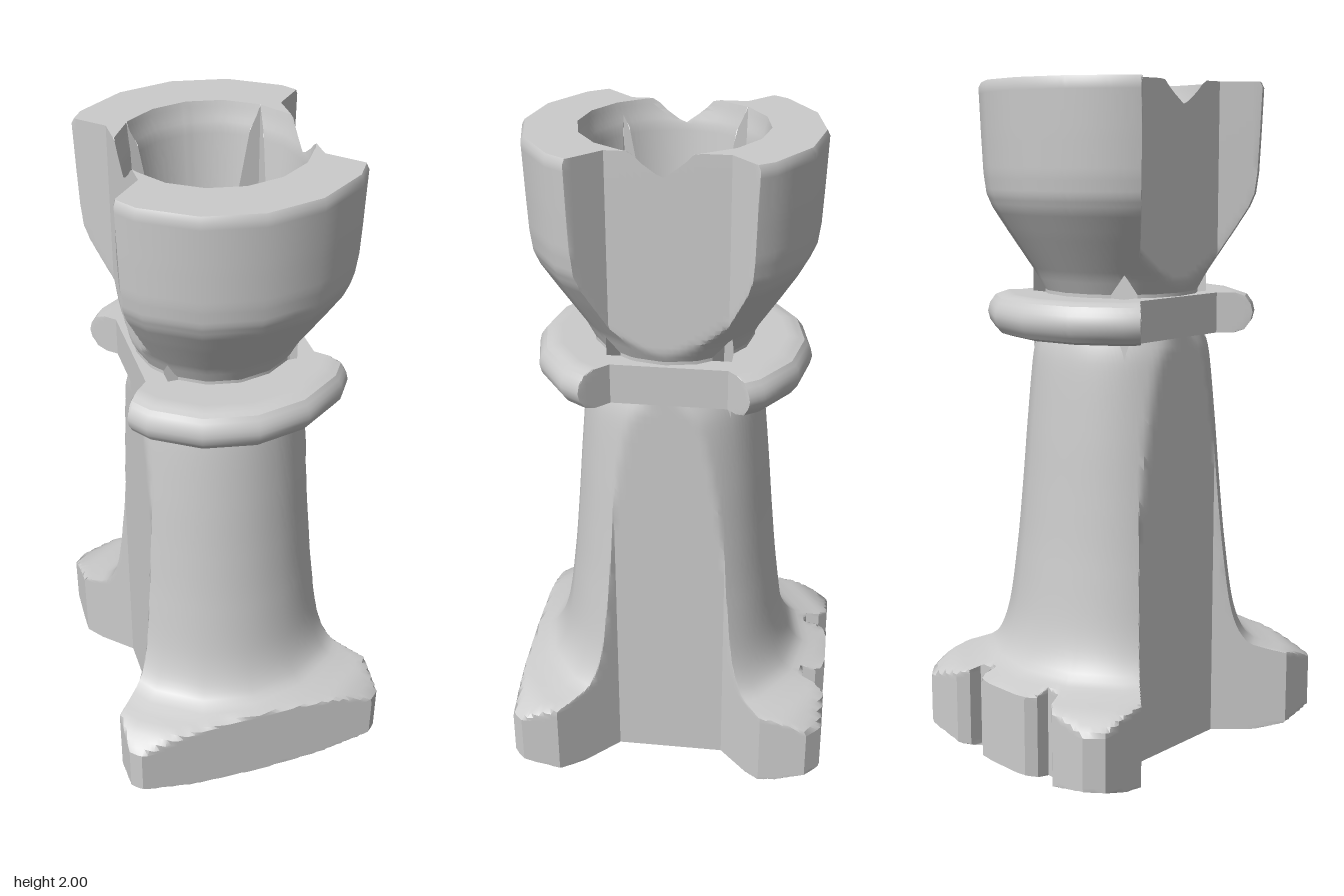
import * as THREE from 'three';
import { toCreasedNormals } from 'three/addons/utils/BufferGeometryUtils.js';

const AXIS_Z = 0.015; // the turned axis sits slightly in front of the footprint centre
const SIDES = 16;
const V = (p) => new THREE.Vector2(p[0], p[1]);

// Right half of the footprint (x, z), back centre to front centre
const half = [[0, -0.485], [0.095, -0.485], [0.12, -0.457], [0.12, -0.415], [0.182, -0.415], [0.182, -0.458],
  [0.212, -0.485], [0.335, -0.485], [0.38, -0.44], [0.38, -0.295], [0.248, -0.165], [0.248, 0.167],
  [0.415, 0.335], [0.415, 0.45], [0.385, 0.483], [0, 0.483]];

// Turned profiles (radius, height)
const bowlPts = [[0.265, 2], [0.259, 1.97], [0.248, 1.93], [0.235, 1.8], [0.22, 1.65], [0.205, 1.55]];
const sections = {
  base: [[0, 0], [0.44, 0], [0.53, 0.02], [0.61, 0.05], [0.66, 0.1], [0.66, 0.16], [0.61, 0.21]],
  column: [[0.61, 0.21], [0.54, 0.25], [0.465, 0.27], [0.4, 0.3], [0.355, 0.4], [0.325, 0.6], [0.305, 0.8],
    [0.288, 1], [0.268, 1.2], [0.25, 1.27]],
  collar: [[0.25, 1.27], [0.35, 1.27], [0.38, 1.28], [0.398, 1.305], [0.404, 1.33], [0.398, 1.355],
    [0.38, 1.38], [0.35, 1.39], [0.235, 1.39], [0.235, 1.4]],
  head: [[0.235, 1.4], [0.26, 1.45], [0.34, 1.57], [0.385, 1.64], [0.402, 1.68], [0.41, 1.74], [0.415, 1.85],
    [0.42, 1.985], [0.412, 2], [0.265, 2]],
  bowl: [...bowlPts, [0, 1.55]],
};

// Two slots run from the bowl down through the base: [x0, x1, z0, z1]
const slots = [[-0.19, 0.19, 0.13, 0.185], [-0.19, 0.19, -0.17, -0.115]]
  .map(([a, b, c, d]) => [a, b, c - AXIS_Z, d - AXIS_Z]);

// Splits each straight run into short steps
function subdivide(points, step, closed = false) {
  const out = [];
  const n = points.length - (closed ? 0 : 1);
  for (let i = 0; i < n; i++) {
    const a = V(points[i]), b = V(points[(i + 1) % points.length]);
    const k = Math.max(1, Math.ceil(a.distanceTo(b) / step));
    for (let j = 0; j < k; j++) out.push(a.clone().lerp(b, j / k));
  }
  if (!closed) out.push(V(points[points.length - 1]));
  return out;
}

// Ratio of the many-sided section's radius to the round one
function facet(angle) {
  const s = (2 * Math.PI) / SIDES;
  const t = ((angle % s) + s) % s - s / 2;
  return Math.cos(s / 2) / Math.cos(t);
}

// Height of the bowl's wall at a radius
function bowlHeight(r) {
  if (r >= bowlPts[0][0]) return 2;
  for (let i = 1; i < bowlPts.length; i++) {
    const [r0, y0] = bowlPts[i - 1], [r1, y1] = bowlPts[i];
    if (r >= r1) return y1 + (y0 - y1) * (r - r1) / (r0 - r1);
  }
  return 1.55;
}

// Rays from the axis to the footprint's edge
const outline = [...half, ...half.slice(1, -1).reverse().map(([x, z]) => [-x, z])]
  .map(([x, z]) => [x, z - AXIS_Z]);
const rays = subdivide(outline, 0.02, true).map((p) => {
  const R = p.length();
  return { R, x: p.x / R, z: p.y / R, f: facet(Math.atan2(p.x, p.y)) };
});

// A profile point along a ray, held inside the footprint
function place(ray, p, f) {
  const r = Math.min(p.x * f, ray.R);
  const y = Math.min(p.y, bowlHeight(ray.R / f));
  return [ray.x * r, y, ray.z * r];
}

function clip(poly, axis, limit, sign) {
  const out = [];
  poly.forEach((a, i) => {
    const b = poly[(i + 1) % poly.length];
    const da = (a[axis] - limit) * sign, db = (b[axis] - limit) * sign;
    if (da >= 0) out.push(a);
    if (da * db < 0) out.push(a.map((v, k) => v + (b[k] - v) * da / (da - db)));
  });
  return out;
}

// Removes a slot's rectangle from a polygon, giving the pieces left over
function cutSlot(poly, [x0, x1, z0, z1]) {
  const xs = poly.map((p) => p[0]), zs = poly.map((p) => p[2]);
  if (Math.max(...xs) <= x0 || Math.min(...xs) >= x1 || Math.max(...zs) <= z0 || Math.min(...zs) >= z1) return [poly];
  const pieces = [];
  let rest = poly;
  for (const [axis, limit, sign] of [[0, x0, -1], [0, x1, 1], [2, z0, -1], [2, z1, 1]]) {
    pieces.push(clip(rest, axis, limit, sign));
    rest = clip(rest, axis, limit, -sign);
  }
  return pieces.filter((p) => p.length > 2);
}

function area(a, b, c) {
  const p = new THREE.Vector3(...a), q = new THREE.Vector3(...b), r = new THREE.Vector3(...c);
  return q.sub(p).cross(r.sub(p)).length();
}

// Turned section trimmed by the footprint; normals come from its round twin
function turned(profile) {
  const faceted = [], round = [];
  const grid = profile.map((p) => rays.map((ray) => [...place(ray, p, ray.f), ...place(ray, p, 1)]));
  const emit = (tri) => {
    if (area(...tri.map((v) => v.slice(0, 3))) < 1e-9) return;
    let polys = [tri];
    for (const s of slots) polys = polys.flatMap((p) => cutSlot(p, s));
    for (const p of polys) {
      for (let k = 1; k < p.length - 1; k++) {
        for (const v of [p[0], p[k], p[k + 1]]) {
          faceted.push(v[0], v[1], v[2]);
          round.push(v[3], v[4], v[5]);
        }
      }
    }
  };
  for (let i = 0; i < grid.length - 1; i++) {
    for (let j = 0; j < rays.length; j++) {
      const k = (j + 1) % rays.length;
      const a = grid[i][j], b = grid[i + 1][j], c = grid[i + 1][k], d = grid[i][k];
      emit([a, b, c]);
      emit([a, c, d]);
    }
  }
  const twin = new THREE.BufferGeometry();
  twin.setAttribute('position', new THREE.Float32BufferAttribute(round, 3));
  const geo = new THREE.BufferGeometry();
  geo.setAttribute('position', new THREE.Float32BufferAttribute(faceted, 3));
  geo.setAttribute('normal', toCreasedNormals(twin, 0.55).getAttribute('normal'));
  return geo;
}

// Inward-facing walls of one slot, reaching up to the bowl's surface
function slotWalls([x0, x1, z0, z1]) {
  const loop = subdivide([[x0, z0], [x1, z0], [x1, z1], [x0, z1]], 0.01, true);
  const pos = [];
  const top = (p) => bowlHeight(p.length() / facet(Math.atan2(p.x, p.y)));
  loop.forEach((p, i) => {
    const q = loop[(i + 1) % loop.length];
    const a = [p.x, 0, p.y], b = [q.x, 0, q.y], c = [q.x, top(q), q.y], d = [p.x, top(p), p.y];
    pos.push(...a, ...b, ...c, ...a, ...c, ...d);
  });
  const geo = new THREE.BufferGeometry();
  geo.setAttribute('position', new THREE.Float32BufferAttribute(pos, 3));
  geo.computeVertexNormals();
  return geo;
}

export function createModel() {
  const group = new THREE.Group();
  group.name = 'chessRook';
  const material = new THREE.MeshStandardMaterial({ color: 0xcccccc });
  const add = (name, geo) => {
    const mesh = new THREE.Mesh(geo, material);
    mesh.name = name;
    mesh.position.z = AXIS_Z;
    group.add(mesh);
  };
  for (const [name, pts] of Object.entries(sections)) {
    // The column's flare is a smooth curve, the rest are short straight runs
    const profile = name === 'column' ? new THREE.SplineCurve(pts.map(V)).getSpacedPoints(55) : subdivide(pts, 0.02);
    add(name, turned(profile));
  }
  slots.forEach((s, i) => add(i ? 'backSlot' : 'frontSlot', slotWalls(s)));
  return group;
}
